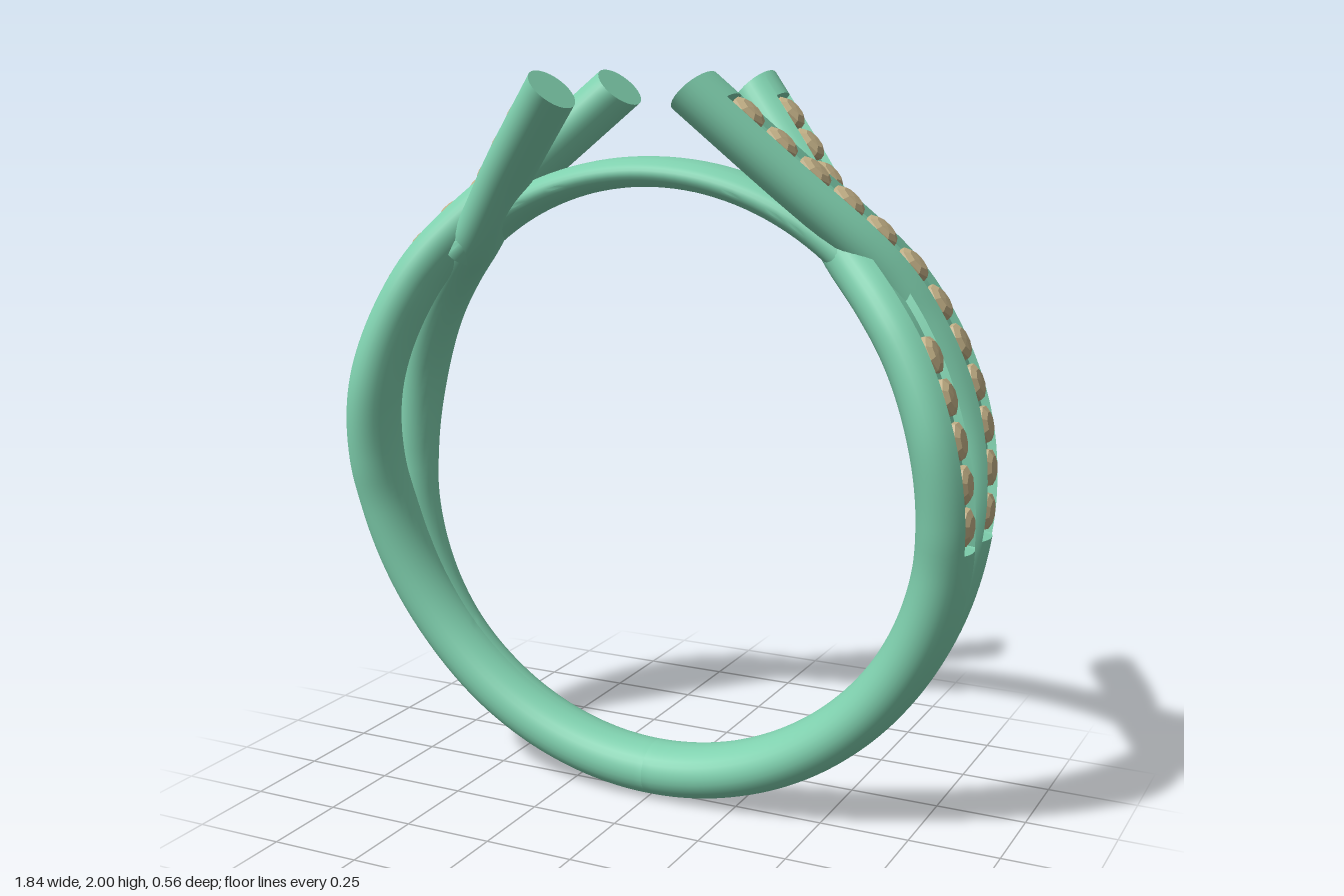
import * as THREE from 'three';
import { toCreasedNormals } from 'three/addons/utils/BufferGeometryUtils.js';

const R = 0.85, CY = 0.925, ARC = R * Math.PI * 0.75, LENGTH = ARC + 0.585;
const CHANNEL = [1.25, 2.51];
const metal = new THREE.MeshStandardMaterial({ color: 0x7fd0ae });
const stone = new THREE.MeshStandardMaterial({ color: 0xc0ae85, flatShading: true });
const V = (x, y, z) => new THREE.Vector3(x, y, z);

// Course of one strand: keys are (distance from the bottom, z offset, lift off the circle)
const makeCourse = (side, crossingLift) => {
  const curve = new THREE.CatmullRomCurve3([
    V(0, 0, 0), V(0.5, 0.004, 0), V(0.8, 0.014, 0), V(1.16, 0.058, 0), V(1.31, 0.09, 0),
    V(1.54, 0.118, 0), V(1.79, 0.088, crossingLift * 0.35), V(1.9, 0.058, crossingLift * 0.7),
    V(2.05, 0, crossingLift), V(2.3, -0.09, crossingLift * 0.4 + 0.012), V(LENGTH, -0.19, 0.02),
  ]);
  return (s) => {
    let lo = 0, hi = 1;
    for (let i = 0; i < 30; i++) {
      const mid = (lo + hi) / 2;
      if (curve.getPoint(mid).x < s) lo = mid; else hi = mid;
    }
    const p = curve.getPoint(hi);
    return { z: p.y * side, lift: p.z };
  };
};

// Centre and outward normal: an arc from the bottom, then a straight tangent
function frame(s, course) {
  const a = -Math.PI / 2 + Math.min(s, ARC) / R;
  const run = Math.max(0, s - ARC);
  const normal = V(Math.cos(a), Math.sin(a), 0);
  const { z, lift } = course(s);
  const centre = V(-Math.sin(a) * run, CY + Math.cos(a) * run, z).addScaledVector(normal, R + lift);
  return { centre, normal };
}

// Skin over closed rings of points, optionally closing the far end
function loft(rings, capEnd) {
  const n = rings[0].length, pos = [], idx = [];
  rings.forEach((ring) => ring.forEach((p) => pos.push(p.x, p.y, p.z)));
  for (let i = 0; i < rings.length - 1; i++) {
    for (let j = 0; j < n; j++) {
      const k = (j + 1) % n, a = i * n, b = a + n;
      idx.push(a + j, b + j, a + k, b + j, b + k, a + k);
    }
  }
  if (capEnd) {
    const last = rings[rings.length - 1], base = (rings.length - 1) * n;
    const c = last.reduce((sum, p) => sum.add(p), V(0, 0, 0)).divideScalar(n);
    pos.push(c.x, c.y, c.z);
    for (let j = 0; j < n; j++) idx.push(rings.length * n, base + ((j + 1) % n), base + j);
  }
  const geo = new THREE.BufferGeometry();
  geo.setAttribute('position', new THREE.Float32BufferAttribute(pos, 3));
  geo.setIndex(idx);
  return toCreasedNormals(geo, 0.6);
}

// Oval section as [normal, z] pairs; the outer face can be sunk to a flat channel
function section(hn, hz, grooved) {
  const out = [];
  for (const deg of [-27, -14, 0, 14, 27]) {
    const a = THREE.MathUtils.degToRad(deg);
    const wall = THREE.MathUtils.clamp(Math.sin(a) * 1.1, -0.5, 0.5);
    out.push(grooved ? [0.038, hz * wall] : [hn * Math.cos(a), hz * Math.sin(a)]);
  }
  for (let i = 0; i <= 24; i++) {
    const a = THREE.MathUtils.degToRad(30 + i * 12.5);
    out.push([hn * Math.cos(a), hz * Math.sin(a)]);
  }
  return out;
}

function makeStrand(course) {
  const stops = [];
  for (let i = 0; i <= 110; i++) stops.push([(i / 110) * LENGTH, null]);
  CHANNEL.forEach((s, i) => stops.push([s - 0.001, i === 1], [s + 0.001, i === 0]));
  stops.sort((a, b) => a[0] - b[0]);
  const rings = stops.map(([s, forced]) => {
    const { centre, normal } = frame(s, course);
    const grooved = forced ?? (s > CHANNEL[0] && s < CHANNEL[1]);
    const hn = THREE.MathUtils.lerp(0.075, 0.067, THREE.MathUtils.smoothstep(s, 1, 2));
    return section(hn, 0.09, grooved).map(([n, z]) =>
      centre.clone().addScaledVector(normal, n).add(V(0, 0, z)));
  });
  return new THREE.Mesh(loft(rings, true), metal);
}

// Faceted stones seated in the channel
const gemGeometry = new THREE.LatheGeometry(
  [[0.038, -0.03], [0.048, -0.008], [0.046, 0.004], [0.03, 0.014], [0, 0.016]].map(
    ([x, y]) => new THREE.Vector2(x, y)), 8, Math.PI / 8);

function makeGems(course, skipped) {
  const gems = new THREE.Group();
  for (let i = 0; i < 12; i++) {
    if (skipped.includes(i)) continue;
    const s = 1.31 + (i * 1.15) / 11;
    const { centre, normal } = frame(s, course);
    const along = frame(s + 0.01, course).centre.sub(frame(s - 0.01, course).centre);
    along.addScaledVector(normal, -along.dot(normal)).normalize();
    const gem = new THREE.Mesh(gemGeometry, stone);
    gem.name = 'gem';
    gem.position.copy(centre).addScaledVector(normal, 0.054);
    gem.quaternion.setFromRotationMatrix(
      new THREE.Matrix4().makeBasis(along, normal, along.clone().cross(normal)));
    gem.scale.set(1.06, 1, 0.9);
    gems.add(gem);
  }
  return gems;
}

// Thin bar closing the circle beneath the open ends
function makeBar() {
  const rings = [];
  for (let i = 0; i <= 40; i++) {
    const k = i / 20 - 1, a = Math.PI / 2 + THREE.MathUtils.degToRad(46 * k);
    const half = 0.04 + 0.014 * k * k;
    rings.push(section(half, 0.085, false).map(([n, z]) => {
      const r = 0.775 + half + n;
      return V(Math.cos(a) * r, CY + Math.sin(a) * r, z);
    }));
  }
  return new THREE.Mesh(loft(rings, false), metal);
}

export function createModel() {
  const model = new THREE.Group();
  model.name = 'ring';
  const over = makeCourse(-1, 0.03), under = makeCourse(1, -0.022);

  // The right half is the left half turned half way round
  ['left', 'right'].forEach((side, i) => {
    const half = new THREE.Group();
    half.name = side + 'Half';
    half.rotation.y = i * Math.PI;
    const parts = {
      overStrand: makeStrand(over),
      underStrand: makeStrand(under),
      overGems: makeGems(over, []),
      underGems: makeGems(under, [5, 6, 7, 8]),
    };
    for (const [name, part] of Object.entries(parts)) {
      part.name = name;
      half.add(part);
    }
    model.add(half);
  });

  const bar = makeBar();
  bar.name = 'innerBar';
  model.add(bar);
  return model;
}
